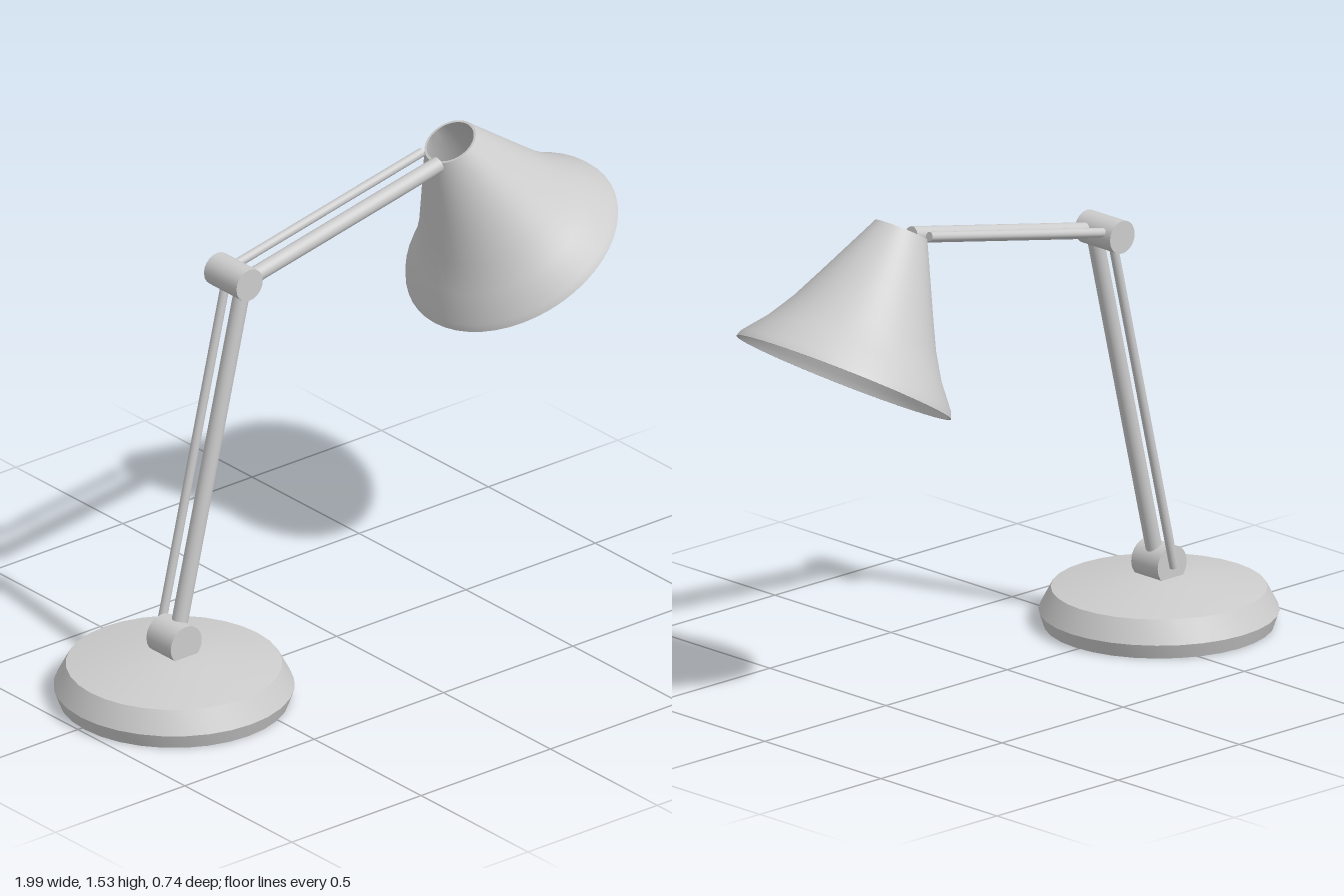
import * as THREE from 'three';
import { toCreasedNormals } from 'three/addons/utils/BufferGeometryUtils.js';

const metal = new THREE.MeshStandardMaterial({ color: 0xcccccc });
metal.name = 'light grey metal';
const glow = new THREE.MeshStandardMaterial({ color: 0xd2b47a });
glow.name = 'warm bulb';

const v2 = (pts) => pts.map(([r, y]) => new THREE.Vector2(r, y));
const v3 = (x, y, z) => new THREE.Vector3(x, y, z);

export function createModel() {
  const lamp = new THREE.Group();
  lamp.name = 'deskLamp';

  const add = (name, geometry, material = metal) => {
    const mesh = new THREE.Mesh(geometry, material);
    mesh.name = name;
    lamp.add(mesh);
    return mesh;
  };

  // Straight round bar between two points
  const rod = (name, a, b, radius) => {
    const dir = b.clone().sub(a);
    const mesh = add(name, new THREE.CylinderGeometry(radius, radius, dir.length(), 20));
    mesh.position.copy(a).add(b).multiplyScalar(0.5);
    mesh.quaternion.setFromUnitVectors(v3(0, 1, 0), dir.normalize());
  };

  // Heavy round foot with bevelled edges
  const foot = v2([[0, 0], [0.345, 0], [0.36, 0.045], [0.323, 0.115], [0.11, 0.155], [0, 0.155]]);
  add('base', toCreasedNormals(new THREE.LatheGeometry(foot, 32), 0.5)).position.set(-0.64, 0, 0.014);

  // Hinges, lying along z
  rod('lowerHinge', v3(-0.64, 0.195, -0.043), v3(-0.64, 0.195, 0.071), 0.06);
  rod('upperHinge', v3(-0.375, 1.295, -0.105), v3(-0.375, 1.295, 0.047), 0.051);

  // Each arm is a thick bar with a thin one behind it
  rod('lowerArm', v3(-0.63, 0.195, 0.014), v3(-0.37, 1.295, 0.014), 0.025);
  rod('lowerArmRod', v3(-0.63, 0.195, -0.062), v3(-0.37, 1.295, -0.062), 0.014);
  rod('upperArm', v3(-0.37, 1.291, 0.01), v3(0.385, 1.447, 0.01), 0.025);
  rod('upperArmRod', v3(-0.37, 1.303, -0.067), v3(0.385, 1.459, -0.067), 0.014);

  // Flared shade, open at both ends, with a thin wall
  const outer = [[0.344, -0.474], [0.335, -0.452], [0.277, -0.38], [0.228, -0.3],
    [0.179, -0.2], [0.131, -0.1], [0.083, 0]];
  const inner = outer.map(([r, y]) => [r - 0.007, y]).reverse();
  const wall = v2([...outer, ...inner, outer[0]]);
  const shade = add('shade', toCreasedNormals(new THREE.LatheGeometry(wall, 48), 0.6));
  shade.position.set(0.459, 1.487, -0.024);
  shade.rotation.z = 0.527;

  // Bulb
  add('bulb', new THREE.SphereGeometry(0.105, 32, 20), glow).position.set(0.617, 1.18, -0.022);

  return lamp;
}
